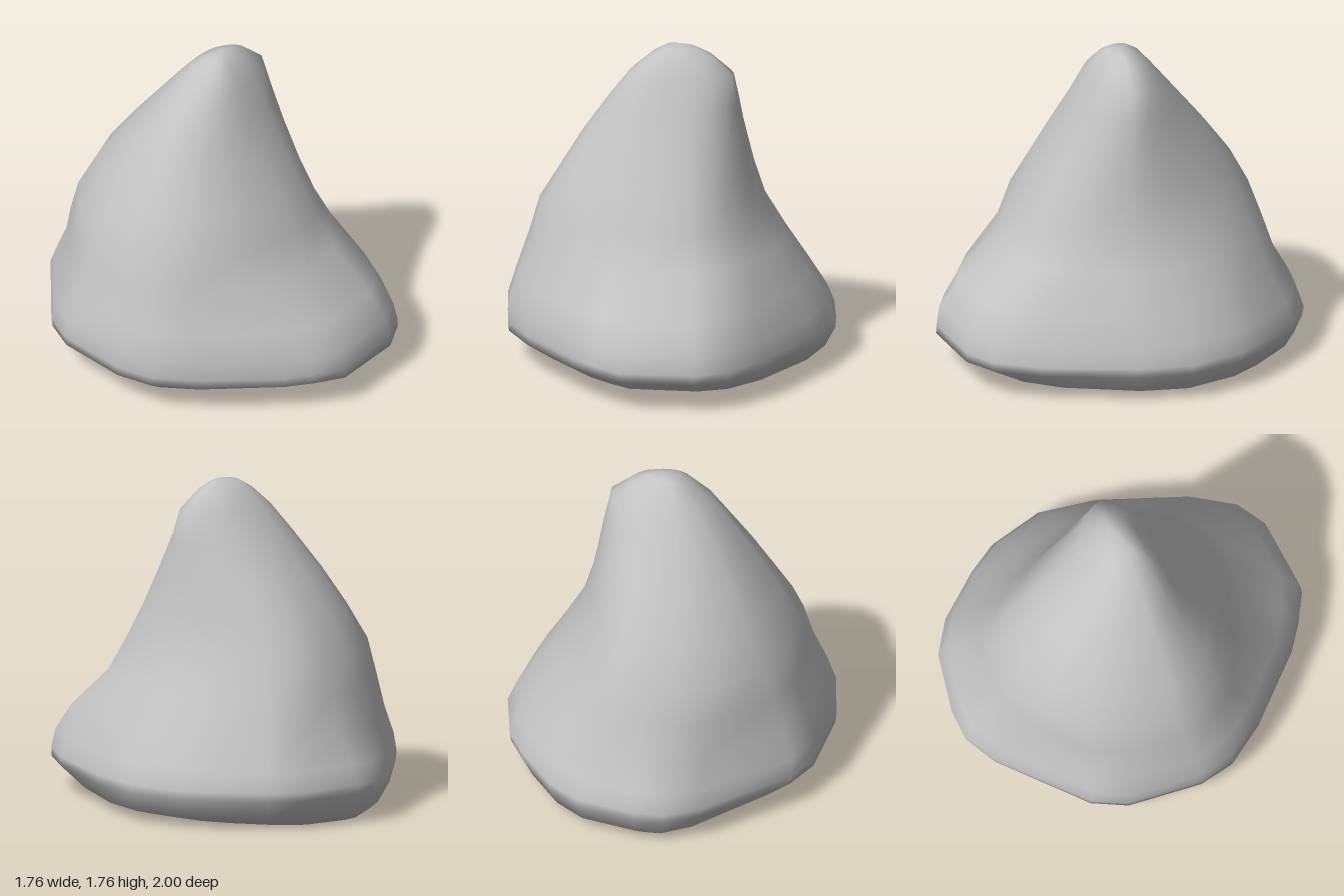
import * as THREE from 'three';

// Unit outlines running +x, +z, -x, -z: the broad foot and the squarer peak
const foot = [[1, -0.1], [0.93, 0.2], [0.7, 0.67], [0.52, 0.89], [0.33, 0.98], [-0.13, 1], [-0.3, 0.91],
  [-0.45, 0.81], [-0.8, 0.47], [-0.96, 0.25], [-1, 0.05], [-0.94, -0.36], [-0.83, -0.54], [-0.34, -0.91],
  [-0.13, -1], [0.05, -1], [0.42, -0.93], [0.61, -0.81], [0.82, -0.57], [0.93, -0.4]];
const peak = [[1, -0.1], [1, 0.2], [0.85, 0.55], [0.66, 0.8], [0.4, 0.95], [0, 1], [-0.3, 0.93],
  [-0.59, 0.8], [-0.84, 0.54], [-0.96, 0.25], [-1, 0], [-0.94, -0.36], [-0.8, -0.65], [-0.53, -0.89],
  [-0.22, -1], [0.08, -1], [0.36, -0.96], [0.58, -0.83], [0.78, -0.63], [0.93, -0.36]];

// Level: y, then reach towards -x, +x, -z, +z
const levels = [
  [0, 0.34, 0.5, 0.72, 0.46],
  [0, 0.43, 0.62, 0.88, 0.57],
  [0.055, 0.73, 0.82, 0.95, 0.79],
  [0.16, 0.88, 0.875, 0.99, 1],
  [0.21, 0.885, 0.88, 1, 0.998],
  [0.31, 0.885, 0.84, 0.955, 0.985],
  [0.46, 0.84, 0.75, 0.87, 0.89],
  [0.67, 0.77, 0.61, 0.8, 0.66],
  [0.85, 0.72, 0.5, 0.735, 0.57],
  [1.05, 0.6, 0.44, 0.63, 0.455],
  [1.25, 0.48, 0.4, 0.485, 0.345],
  [1.45, 0.34, 0.365, 0.325, 0.24],
  [1.6, 0.225, 0.335, 0.205, 0.18],
  [1.7, 0.11, 0.22, 0.12, 0.11],
  [1.74, 0.04, 0.14, 0.06, 0.06],
];

function rockGeometry() {
  const n = foot.length;
  const pos = [];
  const index = [];
  for (const [y, left, right, back, front] of levels) {
    const t = THREE.MathUtils.smoothstep(y, 0.25, 0.95);
    for (let j = 0; j < n; j++) {
      const u = THREE.MathUtils.lerp(foot[j][0], peak[j][0], t);
      const v = THREE.MathUtils.lerp(foot[j][1], peak[j][1], t);
      pos.push(u * (u < 0 ? left : right), y, v * (v < 0 ? back : front));
    }
  }
  const bottom = pos.length / 3;
  pos.push(0.08, 0, -0.1, 0.06, 1.76, 0);
  const last = (levels.length - 1) * n;
  for (let j = 0; j < n; j++) {
    const k = (j + 1) % n;
    for (let i = 0; i < last; i += n) {
      index.push(i + j, i + n + j, i + k, i + k, i + n + j, i + n + k);
    }
    index.push(bottom, j, k, bottom + 1, last + k, last + j);
  }
  const geo = new THREE.BufferGeometry();
  geo.setAttribute('position', new THREE.Float32BufferAttribute(pos, 3));
  geo.setIndex(index);
  geo.computeVertexNormals();
  return geo;
}

export function createModel() {
  const group = new THREE.Group();
  group.name = 'rock';
  const stone = new THREE.MeshStandardMaterial({ color: 0xc2c2c2 });
  stone.name = 'stone grey';
  const boulder = new THREE.Mesh(rockGeometry(), stone);
  boulder.name = 'boulder';
  group.add(boulder);
  return group;
}
